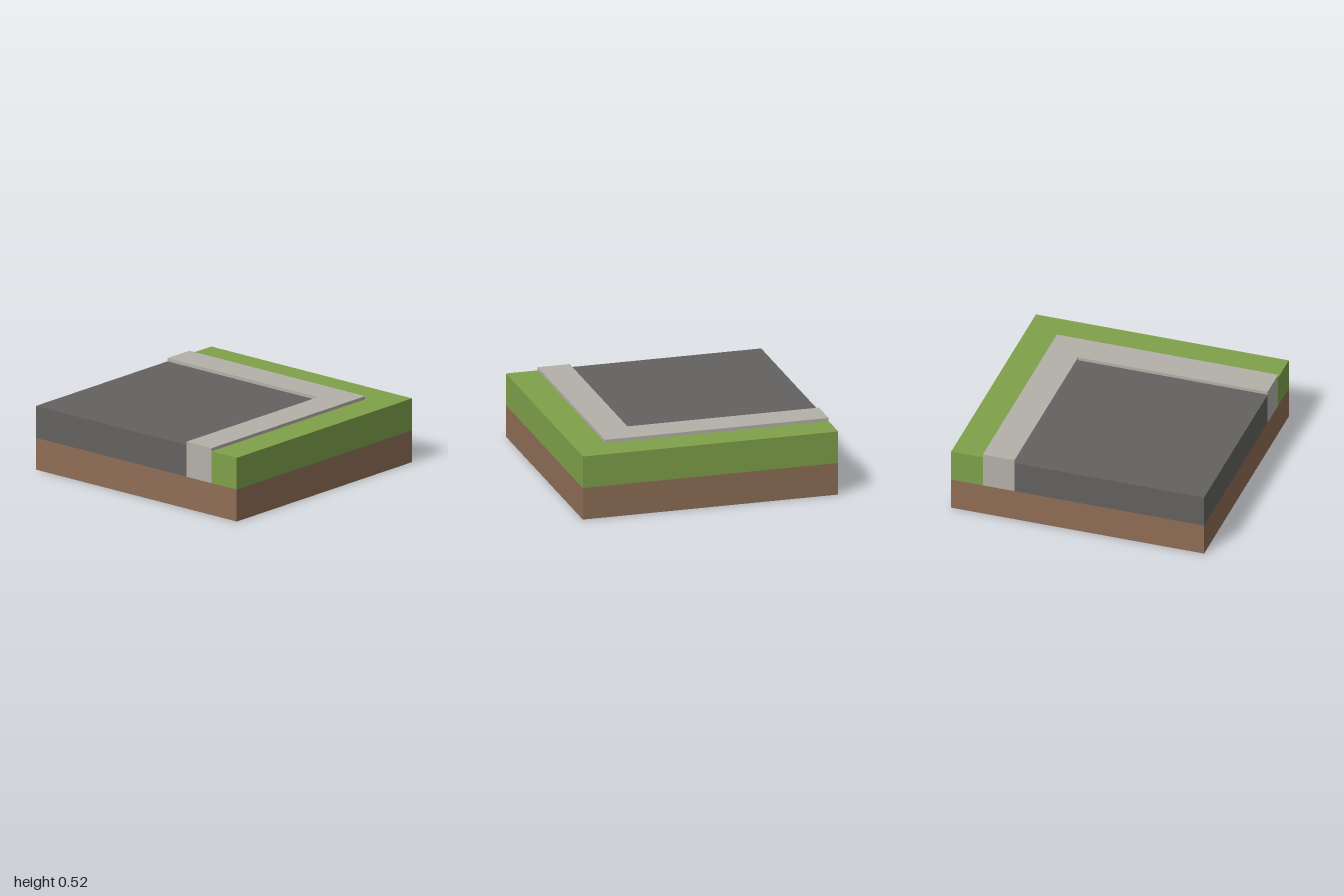
import * as THREE from 'three';

function mat(name, color) {
  const m = new THREE.MeshStandardMaterial({ color, side: THREE.DoubleSide });
  m.name = name;
  return m;
}

// Flat horizontal surface from a plan outline of [x, z] points
function cap(outline, y) {
  const shape = new THREE.Shape(outline.map(([x, z]) => new THREE.Vector2(x, -z)));
  return new THREE.ShapeGeometry(shape).rotateX(-Math.PI / 2).translate(0, y, 0);
}

// Upright walls along a plan path, anticlockwise from above so they face outward
function walls(path, y0, y1) {
  const pos = [];
  for (let i = 0; i < path.length - 1; i++) {
    const [ax, az] = path[i], [bx, bz] = path[i + 1];
    pos.push(ax, y0, az, bx, y0, bz, bx, y1, bz, ax, y0, az, bx, y1, bz, ax, y1, az);
  }
  const g = new THREE.BufferGeometry();
  g.setAttribute('position', new THREE.Float32BufferAttribute(pos, 3));
  g.computeVertexNormals();
  return g;
}

export function createModel() {
  const model = new THREE.Group();
  model.name = 'roadCornerTile';
  const soil = mat('soilBrown', 0x8f6e56);
  const green = mat('grassGreen', 0x7fa14a);
  const asphalt = mat('asphaltGrey', 0x636260);
  const stone = mat('kerbStone', 0xb4b1aa);

  const add = (name, geometry, material) => {
    const mesh = new THREE.Mesh(geometry, material);
    mesh.name = name;
    model.add(mesh);
  };

  const base = 0.25, ground = 0.5, kerbTop = 0.525;

  // Soil skirt, open underneath
  add('soilSkirt', walls([[-1, 1], [1, 1], [1, -1], [-1, -1], [-1, 1]], 0, base), soil);

  // Road surface and its two outer sides
  add('roadTop', cap([[-1, 1], [0.5, 1], [0.5, -0.5], [-1, -0.5]], ground), asphalt);
  add('roadSides', walls([[-1, -0.5], [-1, 1], [0.5, 1]], base, ground), asphalt);

  // Raised L-shaped kerb with ends running down to the soil
  const kerb = [[0.5, 1], [0.75, 1], [0.75, -0.75], [-1, -0.75], [-1, -0.5], [0.5, -0.5]];
  add('kerbTop', cap(kerb, kerbTop), stone);
  add('kerbLip', walls([...kerb, kerb[0]], ground, kerbTop), stone);
  add('kerbFrontEnd', walls(kerb.slice(0, 2), base, ground), stone);
  add('kerbSideEnd', walls(kerb.slice(3, 5), base, ground), stone);

  // Grass verge around the outside of the bend
  const verge = [[0.75, 1], [1, 1], [1, -1], [-1, -1], [-1, -0.75], [0.75, -0.75]];
  add('grassTop', cap(verge, ground), green);
  add('grassSides', walls(verge.slice(0, 5), base, ground), green);

  return model;
}
